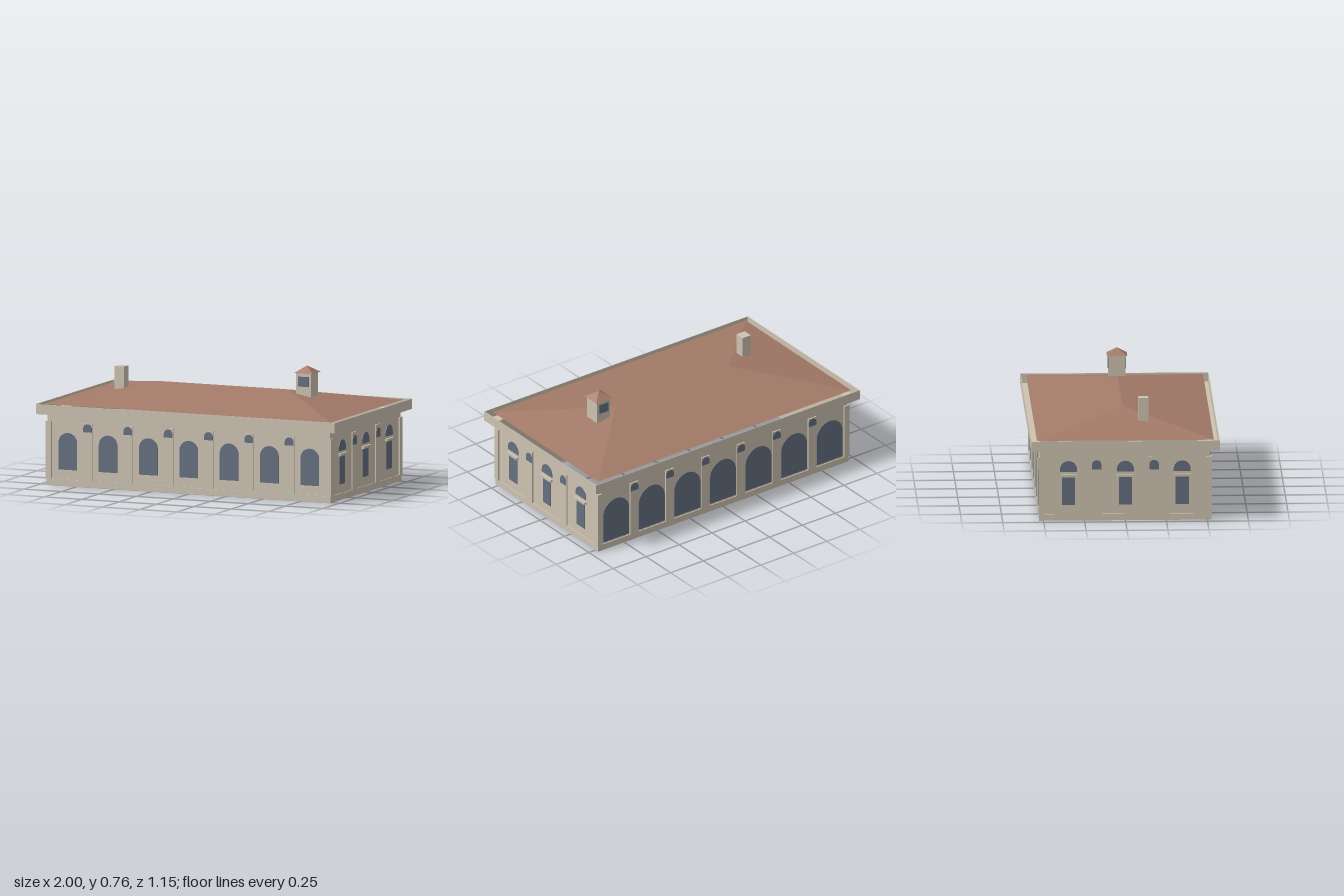
import * as THREE from 'three';

const stone = new THREE.MeshStandardMaterial({ color: 0xcdc3b2 });
stone.name = 'stone';
const tile = new THREE.MeshStandardMaterial({ color: 0xa37a68 });
tile.name = 'roofTile';
const glass = new THREE.MeshStandardMaterial({ color: 0x65717f });
glass.name = 'windowGlass';

// Half sizes of the walls
const HX = 0.946, HZ = 0.52;

function add(parent, name, geometry, material, x = 0, y = 0, z = 0) {
  const mesh = new THREE.Mesh(geometry, material);
  mesh.name = name;
  mesh.position.set(x, y, z);
  parent.add(mesh);
  return mesh;
}

// Box given by its bottom and top heights
function block(parent, name, w, y0, y1, d, x, z, material = stone) {
  return add(parent, name, new THREE.BoxGeometry(w, y1 - y0, d), material, x, (y0 + y1) / 2, z);
}

// Hollow rectangular ring with outer half sizes hx, hz and thickness t
function ring(parent, name, hx, hz, t, y0, y1) {
  const rect = (path, a, b) => path.moveTo(-a, -b).lineTo(a, -b).lineTo(a, b).lineTo(-a, b).closePath();
  const shape = new THREE.Shape();
  rect(shape, hx, hz);
  const hole = new THREE.Path();
  rect(hole, hx - t, hz - t);
  shape.holes.push(hole);
  const geo = new THREE.ExtrudeGeometry(shape, { depth: y1 - y0, bevelEnabled: false });
  geo.rotateX(-Math.PI / 2);
  return add(parent, name, geo, stone, 0, y0, 0);
}

// Thin round-headed window plate
function archWindow(parent, name, x, y0, top, r, z) {
  const spring = top - r;
  const shape = new THREE.Shape();
  shape.moveTo(x - r, y0).lineTo(x + r, y0).lineTo(x + r, spring);
  shape.absarc(x, spring, r, 0, Math.PI, false);
  shape.closePath();
  const geo = new THREE.ExtrudeGeometry(shape, { depth: 0.004, bevelEnabled: false, curveSegments: 12 });
  add(parent, name, geo, glass, 0, 0, z);
}

// Pilaster with a small arched light near its top
function pilaster(parent, x, y0, top) {
  block(parent, 'pilaster', 0.062, 0.04, 0.395, 0.012, x, 0.002);
  archWindow(parent, 'pilasterWindow', x, y0, top, 0.029, 0.006);
}

// Corner strips at both ends of a facade
function cornerStrips(parent, half) {
  for (const s of [-1, 1]) block(parent, 'cornerPilaster', 0.036, 0.04, 0.395, 0.012, s * (half - 0.01), 0.003);
}

function facade(parent, name, angle, dist) {
  const g = new THREE.Group();
  g.name = name;
  g.rotation.y = angle;
  g.position.set(Math.sin(angle) * dist, 0, Math.cos(angle) * dist);
  parent.add(g);
  return g;
}

// Long side: seven arched windows between six pilasters
function longFacade(parent, name, angle, y0, top, r) {
  const g = facade(parent, name, angle, HZ);
  for (let i = -3; i <= 3; i++) archWindow(g, 'archedWindow', i * 0.27, y0, top, r, 0);
  for (let i = -2.5; i <= 2.5; i++) pilaster(g, i * 0.27, 0.34, 0.39);
  cornerStrips(g, HX);
}

// Short side: three windows, each with a band and a half-round light above
function shortFacade(parent, name, angle) {
  const g = facade(parent, name, angle, HX);
  for (const x of [-0.347, 0, 0.347]) {
    block(g, 'tallWindow', 0.08, 0.097, 0.27, 0.008, x, 0, glass);
    block(g, 'windowBand', 0.106, 0.272, 0.288, 0.02, x, 0.005);
    archWindow(g, 'fanlight', x, 0.303, 0.37, 0.052, 0);
  }
  for (const x of [-0.175, 0.175]) pilaster(g, x, 0.317, 0.376);
  cornerStrips(g, HZ);
}

// Hip roof with a stone ceiling underneath
function hipRoof(parent) {
  const X = 0.96, Z = 0.54, y0 = 0.5, y1 = 0.602, R = 0.43;
  const a = [-X, y0, Z], b = [X, y0, Z], c = [X, y0, -Z], d = [-X, y0, -Z];
  const l = [-R, y1, 0], r = [R, y1, 0];
  const slopes = [a, b, r, a, r, l, c, d, l, c, l, r, b, c, r, d, a, l];
  const ceiling = [a, d, c, a, c, b];
  for (const [name, pts, mat] of [['roof', slopes, tile], ['ceiling', ceiling, stone]]) {
    const geo = new THREE.BufferGeometry();
    geo.setAttribute('position', new THREE.Float32BufferAttribute(pts.flat(), 3));
    geo.computeVertexNormals();
    add(parent, name, geo, mat, 0, name === 'ceiling' ? -0.002 : 0, 0);
  }
}

function cupola(parent) {
  const g = new THREE.Group();
  g.name = 'cupola';
  g.position.set(0.557, 0, 0);
  parent.add(g);
  block(g, 'cupolaBody', 0.1, 0.571, 0.714, 0.104, 0, 0);
  for (const s of [-1, 1]) block(g, 'cupolaWindow', 0.07, 0.632, 0.693, 0.006, 0, s * 0.053, glass);
  const cap = new THREE.ConeGeometry(0.062 * Math.SQRT2, 0.043, 4, 1).toNonIndexed();
  cap.rotateY(Math.PI / 4);
  cap.computeVertexNormals();
  add(g, 'cupolaRoof', cap, tile, 0, 0.7355, 0);
}

export function createModel() {
  const model = new THREE.Group();
  model.name = 'arcadedHall';

  // Open shell of walls on a low plinth
  ring(model, 'walls', HX, HZ, 0.01, 0, 0.441);
  ring(model, 'plinth', 0.951, 0.526, 0.008, 0, 0.04);

  longFacade(model, 'frontFacade', 0, 0.1, 0.327, 0.062);
  longFacade(model, 'backFacade', Math.PI, 0.05, 0.327, 0.098);
  shortFacade(model, 'rightFacade', Math.PI / 2);
  shortFacade(model, 'leftFacade', -Math.PI / 2);

  // Eaves: a flat soffit with an upright fascia, open behind the roof edge
  ring(model, 'soffit', 1, 0.575, 0.062, 0.44, 0.444);
  ring(model, 'fascia', 1, 0.575, 0.003, 0.44, 0.502);

  hipRoof(model);
  cupola(model);
  block(model, 'chimney', 0.064, 0.555, 0.7, 0.062, -0.632, 0.12);
  return model;
}
